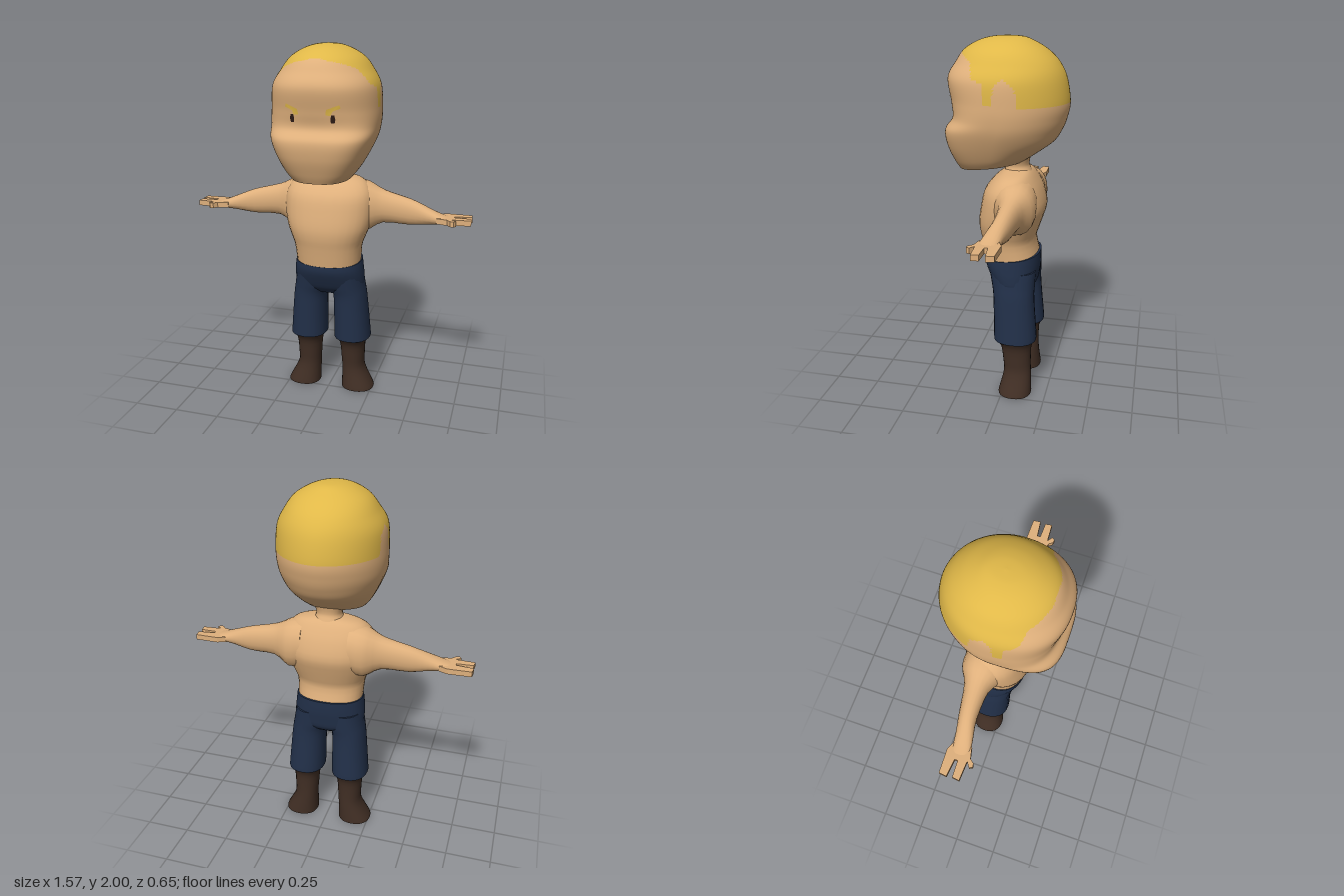
import * as THREE from 'three';

const mat = (name, color) => {
  const m = new THREE.MeshStandardMaterial({ color });
  m.name = name;
  return m;
};

// Smooth loft up the y axis, closed at both ends.
// ring: [y, x0, x1, zFront, zBack, tilt (dy/dz), zWidest, frontExponent, backExponent]
function loft(rings, seg = 24, sub = 3) {
  const full = rings.map(([y, x0, x1, zf, zb, tilt = 0, zc = (zf + zb) / 2, nf = 2.3, nb = 2.3]) =>
    [y, x0, x1, zf, zb, tilt, zc, nf, nb]);
  const at = (i) => full[Math.max(0, Math.min(full.length - 1, i))];
  const sections = [];
  for (let i = 0; i < full.length - 1; i++) {
    for (let k = 0; k < sub; k++) {
      const t = k / sub;
      sections.push(full[i].map((b, q) => {
        const a = at(i - 1)[q], c = at(i + 1)[q], d = at(i + 2)[q];
        return b + 0.5 * t * (c - a + t * (2 * a - 5 * b + 4 * c - d + t * (3 * (b - c) + d - a)));
      }));
    }
  }
  sections.push(full[full.length - 1]);

  const pos = [], index = [];
  const addRing = ([y, x0, x1, zf, zb, tilt, zc, nf, nb]) => {
    const start = pos.length / 3;
    for (let j = 0; j < seg; j++) {
      const a = (j / seg) * Math.PI * 2, s = Math.sin(a), c = Math.cos(a);
      const n = c > 0 ? nf : nb;
      const r = Math.pow(Math.abs(s) ** n + Math.abs(c) ** n, -1 / n);
      const z = zc + r * c * (c > 0 ? zf - zc : zc - zb);
      pos.push((x0 + x1) / 2 + ((x1 - x0) / 2) * r * s, y + tilt * z, z);
    }
    return start;
  };
  const starts = sections.map(addRing);
  for (let i = 0; i < starts.length - 1; i++) {
    for (let j = 0; j < seg; j++) {
      const k = (j + 1) % seg, lo = starts[i], hi = starts[i + 1];
      index.push(lo + j, lo + k, hi + k, lo + j, hi + k, hi + j);
    }
  }
  // Flat end caps with their own vertices keep the rims crisp
  [[sections[0], false], [sections[sections.length - 1], true]].forEach(([s, top]) => {
    const start = addRing(s), mid = pos.length / 3, z = (s[3] + s[4]) / 2;
    pos.push((s[1] + s[2]) / 2, s[0] + s[5] * z, z);
    for (let j = 0; j < seg; j++) {
      const k = (j + 1) % seg;
      index.push(mid, start + (top ? j : k), start + (top ? k : j));
    }
  });
  const g = new THREE.BufferGeometry();
  g.setAttribute('position', new THREE.Float32BufferAttribute(pos, 3));
  g.setIndex(index);
  g.computeVertexNormals();
  return g;
}

// Mirrored copy across x = 0 with the winding put right
function mirrored(geo) {
  const g = geo.clone().scale(-1, 1, 1);
  if (!g.index) g.setIndex([...Array(g.attributes.position.count).keys()]);
  const ix = g.index.array;
  for (let i = 0; i < ix.length; i += 3) [ix[i], ix[i + 1]] = [ix[i + 1], ix[i]];
  return g;
}

// Lowest height of the hair at each depth z, with the sideburn in front of the ear
const HAIRLINE = [[-1, 1.67], [-0.1, 1.67], [-0.08, 1.77], [-0.02, 1.81], [0.02, 1.78], [0.03, 1.685],
  [0.07, 1.685], [0.075, 1.78], [0.14, 1.81], [0.16, 1.88], [0.235, 1.92], [0.25, 3], [1, 3]];
function isHair(y, z) {
  const i = HAIRLINE.findIndex((p) => p[0] > z);
  const [z0, y0] = HAIRLINE[i - 1], [z1, y1] = HAIRLINE[i];
  return y > y0 + ((y1 - y0) * (z - z0)) / (z1 - z0);
}

// Sort the faces of the head into skin and hair groups
function splitHair(g) {
  const p = g.attributes.position, ix = g.index.array, sets = [[], []];
  for (let i = 0; i < ix.length; i += 3) {
    const f = [ix[i], ix[i + 1], ix[i + 2]];
    const mean = (get) => f.reduce((s, v) => s + get(v), 0) / 3;
    sets[isHair(mean((v) => p.getY(v)), mean((v) => p.getZ(v))) ? 1 : 0].push(...f);
  }
  g.setIndex([...sets[0], ...sets[1]]);
  g.addGroup(0, sets[0].length, 0);
  g.addGroup(sets[0].length, sets[1].length, 1);
  return g;
}

export function createModel() {
  const skin = mat('skin', 0xdfb07c), hair = mat('hair', 0xe0b848);
  const cloth = mat('trousers', 0x223049), leather = mat('boots', 0x402e24), dark = mat('eyes', 0x2e1c16);
  const model = new THREE.Group();
  model.name = 'figure';
  const add = (name, geo, material) => {
    const m = new THREE.Mesh(geo, material);
    m.name = name;
    model.add(m);
    return m;
  };
  const addPair = (name, geo, material) => {
    add('left' + name, geo, material);
    add('right' + name, mirrored(geo), material);
  };

  // Head with heavy jaw, brow notch and short hair
  const head = add('head', splitHair(loft([
    [1.338, 0.165, 0.265, -0.09, -0.13, 0.08, 2.6, 2],
    [1.38, 0.2, 0.288, -0.16, -0.1, 0.06, 2.9, 2],
    [1.45, 0.24, 0.318, -0.245, -0.04, 0.04, 3.2, 2],
    [1.525, 0.272, 0.325, -0.288, 0, 0.01, 3.3, 1.9],
    [1.59, 0.286, 0.287, -0.312, 0, 0, 2.8, 1.9],
    [1.67, 0.29, 0.298, -0.325, 0, 0, 2.4, 1.9],
    [1.79, 0.281, 0.318, -0.305, 0, 0, 2.3, 1.9],
    [1.87, 0.24, 0.278, -0.265, 0, 0, 2.1, 2],
    [1.93, 0.195, 0.235, -0.205, 0, 0, 2, 2],
    [1.972, 0.13, 0.165, -0.135, 0, 0, 2, 2],
    [1.994, 0.065, 0.09, -0.08, 0, 0, 2, 2],
    [2.0, 0.005, 0.006, -0.006, 0, 0, 2, 2],
  ].map(([y, w, ...rest]) => [y, -w, w, ...rest]), 128, 8)), [skin, hair]);

  // Eyes and brows laid onto the face
  const ray = new THREE.Raycaster();
  const onFace = (points) => {
    const g = new THREE.ShapeGeometry(new THREE.Shape(points.map(([x, y]) => new THREE.Vector2(x, y))));
    const p = g.attributes.position;
    for (let i = 0; i < p.count; i++) {
      ray.set(new THREE.Vector3(p.getX(i), p.getY(i), 1), new THREE.Vector3(0, 0, -1));
      const hit = ray.intersectObject(head)[0];
      p.setZ(i, (hit ? hit.point.z : 0.27) + 0.004);
    }
    g.computeVertexNormals();
    return g;
  };
  addPair('Eye', onFace([[0.096, 1.622], [0.114, 1.622], [0.118, 1.64], [0.114, 1.662], [0.098, 1.662], [0.094, 1.64]]), dark);
  addPair('Brow', onFace([[0.07, 1.662], [0.095, 1.66], [0.105, 1.682], [0.145, 1.697], [0.138, 1.713], [0.075, 1.69]]), hair);

  // Neck and bare torso
  add('neck', loft([
    [1.26, -0.1, 0.1, 0.04, -0.14],
    [1.3, -0.075, 0.075, 0.02, -0.12],
    [1.33, -0.07, 0.07, 0.015, -0.11],
    [1.38, -0.09, 0.09, 0.02, -0.12],
  ]), skin);
  add('torso', loft([
    [0.79, 0.182, 0.122, -0.175, -0.09],
    [0.9, 0.19, 0.143, -0.153],
    [0.96, 0.21, 0.155, -0.168],
    [1.02, 0.232, 0.158, -0.188],
    [1.1, 0.248, 0.146, -0.208],
    [1.19, 0.245, 0.124, -0.186],
    [1.25, 0.215, 0.08, -0.155],
    [1.285, 0.165, 0.035, -0.13],
    [1.303, 0.08, 0.01, -0.11],
  ].map(([y, w, ...rest]) => [y, -w, w, ...rest]), 32), skin);

  // Arms, lofted along x: [x, yLow, yHigh, zFront, zBack]
  const arm = loft([
    [0.13, 1.0, 1.275, 0.06, -0.18],
    [0.21, 0.985, 1.26, 0.045, -0.18],
    [0.3, 1.035, 1.217, 0, -0.135],
    [0.45, 1.035, 1.178, -0.01, -0.11],
    [0.55, 1.05, 1.14, 0.005, -0.092],
    [0.62, 1.06, 1.112, 0.016, -0.085],
    [0.66, 1.068, 1.1, 0.015, -0.09],
  ].map(([x, lo, hi, zf, zb]) => [x, -hi, -lo, zf, zb]), 20).rotateZ(-Math.PI / 2);
  addPair('Arm', arm, skin);

  // Flat hands with two broad fingers and a thumb
  const outline = [[0.6, -0.08], [0.65, -0.103], [0.78, -0.1], [0.785, -0.058], [0.69, -0.047], [0.69, -0.03],
    [0.78, -0.027], [0.785, 0.012], [0.68, 0.018], [0.708, 0.038], [0.697, 0.056], [0.678, 0.052], [0.66, 0.03], [0.6, 0.016]];
  const hand = new THREE.ExtrudeGeometry(
    new THREE.Shape(outline.map(([x, z]) => new THREE.Vector2(x, z))), { depth: 0.03, bevelEnabled: false });
  hand.rotateX(Math.PI / 2).translate(0, 1.1, 0);
  addPair('Hand', hand, skin);

  // Trousers: hips and two legs
  add('hips', loft([
    [0.615, 0.1, 0.03, -0.13],
    [0.65, 0.19, 0.07, -0.165],
    [0.7, 0.2, 0.098, -0.175],
    [0.76, 0.196, 0.124, -0.182],
    [0.812, 0.189, 0.127, -0.182, -0.09],
  ].map(([y, w, ...rest]) => [y, -w, w, ...rest]), 32), cloth);
  addPair('TrouserLeg', loft([
    [0.33, 0.027, 0.236, 0.056, -0.184],
    [0.36, 0.026, 0.234, 0.057, -0.184],
    [0.5, 0.025, 0.222, 0.06, -0.172],
    [0.6, 0.022, 0.212, 0.064, -0.166],
    [0.66, 0.0, 0.202, 0.075, -0.168],
    [0.74, 0.0, 0.19, 0.09, -0.17],
  ]), cloth);

  // Boots with toes turned outward
  addPair('Boot', loft([
    [0, 0.07, 0.26, 0.024, -0.164],
    [0.02, 0.07, 0.253, 0.022, -0.163],
    [0.12, 0.07, 0.203, 0, -0.156],
    [0.2, 0.065, 0.2, 0.005, -0.154],
    [0.285, 0.057, 0.206, 0.018, -0.158],
    [0.335, 0.032, 0.231, 0.05, -0.18],
  ]), leather);

  return model;
}
